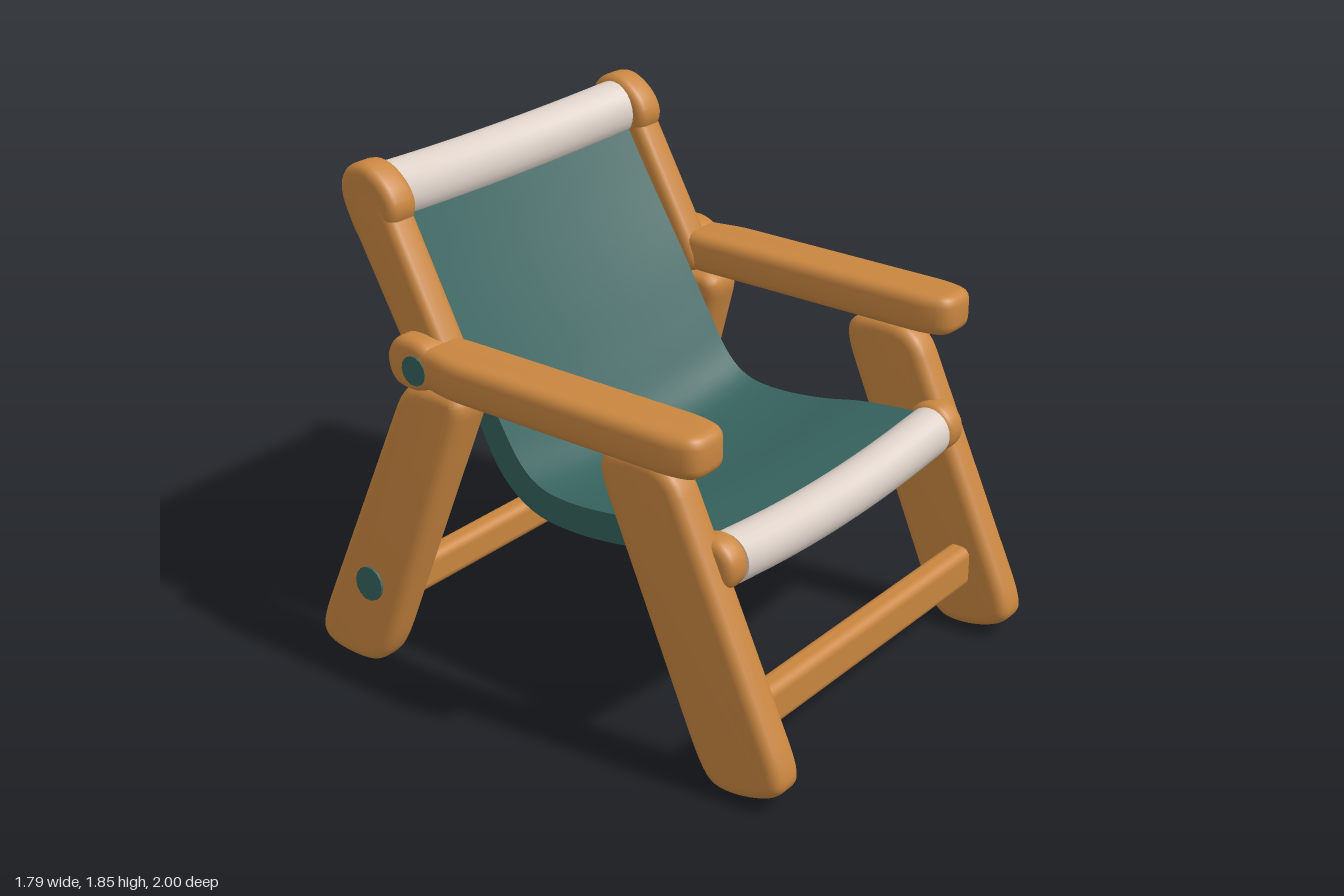
import * as THREE from 'three';
import { toCreasedNormals } from 'three/addons/utils/BufferGeometryUtils.js';
import { RoundedBoxGeometry } from 'three/addons/geometries/RoundedBoxGeometry.js';

const material = (name, color) => {
  const m = new THREE.MeshStandardMaterial({ color });
  m.name = name;
  return m;
};

// Closed outline with softened corners
function roundedShape(points, radius) {
  const p = points.map(([x, y]) => new THREE.Vector2(x, y));
  const shape = new THREE.Shape();
  p.forEach((c, i) => {
    const toward = (q) => {
      const d = q.clone().sub(c);
      return c.clone().addScaledVector(d.clone().normalize(), Math.min(radius, d.length() * 0.48));
    };
    const a = toward(p[(i + p.length - 1) % p.length]);
    const b = toward(p[(i + 1) % p.length]);
    if (i === 0) shape.moveTo(a.x, a.y);
    else shape.lineTo(a.x, a.y);
    shape.quadraticCurveTo(c.x, c.y, b.x, b.y);
  });
  return shape;
}

// Soft-edged slab of an outline, centred on its thickness along z
function slab(points, radius, thickness, bevel = 0.035) {
  const geo = new THREE.ExtrudeGeometry(roundedShape(points, radius), {
    depth: thickness - 2 * bevel, curveSegments: 6,
    bevelThickness: bevel, bevelSize: bevel, bevelOffset: -bevel, bevelSegments: 4,
  });
  geo.translate(0, 0, bevel - thickness / 2);
  return geo;
}

// Slab whose outline is given in side profile as [z, y]
function sideSlab(points, radius, thickness, bevel) {
  return slab(points.map(([z, y]) => [-z, y]), radius, thickness, bevel).rotateY(Math.PI / 2);
}

const ring = (z, y, r, n = 8) => Array.from({ length: n }, (_, i) => {
  const a = ((i + 0.5) / n) * Math.PI * 2;
  return [z + r * Math.cos(a), y + r * Math.sin(a)];
});

// Move every vertex by a rule
function warp(geo, rule) {
  const pos = geo.attributes.position;
  const v = new THREE.Vector3();
  for (let i = 0; i < pos.count; i++) {
    rule(v.fromBufferAttribute(pos, i));
    pos.setXYZ(i, v.x, v.y, v.z);
  }
  return geo;
}

const HALF = 0.605;
const sagAt = (x) => Math.max(0, 1 - (x / HALF) ** 2);

export function createModel() {
  const model = new THREE.Group();
  model.name = 'deckChair';
  const wood = material('wood', 0xc98640);
  const cloth = material('tealCloth', 0x36625e);
  const trim = material('creamTrim', 0xdcd0c7);

  const add = (name, geo, mat, x = 0, y = 0, z = 0) => {
    const mesh = new THREE.Mesh(geo, mat);
    mesh.name = name;
    mesh.position.set(x, y, z);
    model.add(mesh);
    return mesh;
  };
  const smooth = (geo) => toCreasedNormals(geo, 0.7);

  for (const s of [1, -1]) {
    const side = s > 0 ? 'left' : 'right';

    // Legs with rounded feet; the rear one splays outward and thins toward the floor
    add(side + 'FrontLeg', smooth(sideSlab(
      [[1.015, 0.13], [0.99, 0.06], [0.86, 0.01], [0.73, 0.005], [0.665, 0.08],
        [0.245, 1.06], [0.29, 1.14], [0.55, 1.14]], 0.11, 0.135, 0.042)), wood, s * 0.717);
    const rear = sideSlab(
      [[-0.31, 1.14], [-0.605, 1.14], [-1.005, 0.1], [-0.985, 0.03], [-0.9, 0], [-0.73, 0], [-0.65, 0.07]],
      0.11, 0.125, 0.042);
    add(side + 'RearLeg', smooth(warp(rear, (v) => {
      v.x = v.x * (1 + 0.4 * v.y) + s * (0.8375 - 0.115 * v.y);
    })), wood);

    // Back post, leaning slightly inward, with its thicker head
    const post = sideSlab([[-0.385, 1.15], [-0.57, 1.1], [-0.89, 1.66], [-0.86, 1.79], [-0.73, 1.79]], 0.08, 0.128);
    add(side + 'BackPost', smooth(warp(post, (v) => { v.x += s * (0.7 - 0.016 * v.y); })), wood);
    add(side + 'PostHead', smooth(sideSlab(
      [[-0.645, 1.69], [-0.68, 1.79], [-0.79, 1.865], [-0.895, 1.835], [-0.93, 1.74], [-0.84, 1.55], [-0.74, 1.58]],
      0.08, 0.128)), wood, s * 0.672);

    // Armrest, drawn from above, and the pivot block at its rear end
    const arm = [[0.625, 0.6], [0.66, 0.7], [0.82, 0.7], [0.85, 0.6], [0.85, -0.35],
      [0.82, -0.48], [0.815, -0.62], [0.67, -0.62], [0.625, -0.45]];
    add(side + 'Armrest', smooth(slab(arm.map(([x, z]) => [x * s, z]), 0.06, 0.15, 0.04).rotateX(Math.PI / 2)),
      wood, 0, 1.213, 0);
    add(side + 'ArmPivot', smooth(sideSlab(
      [[-0.4, 1.24], [-0.49, 1.31], [-0.61, 1.31], [-0.66, 1.23], [-0.63, 1.13], [-0.53, 1.11], [-0.43, 1.15]],
      0.05, 0.16)), wood, s * 0.74);

    // Knob at the front edge of the seat
    add(side + 'SeatKnob', smooth(sideSlab(ring(0.66, 0.79, 0.106), 0.05, 0.11)), wood, s * 0.66);

    // Round pegs on the outside
    const peg = (r) => new THREE.CylinderGeometry(r, r, 0.03, 14).rotateZ(Math.PI / 2);
    add(side + 'ArmPeg', peg(0.054), cloth, s * 0.813, 1.205, -0.51);
    add(side + 'LegPeg', peg(0.064), cloth, s * 0.865, 0.325, -0.74).rotation.z = s * 0.09;
  }

  // Cross bars between the legs
  add('frontStretcher', new RoundedBoxGeometry(1.38, 0.16, 0.095, 3, 0.035), wood, 0, 0.26, 0.795);
  add('rearStretcher', new RoundedBoxGeometry(1.58, 0.14, 0.09, 3, 0.035), wood, 0, 0.265, -0.74);

  // Sling: a thick profile swept across, thinning upward and sagging toward the middle
  const centre = new THREE.SplineCurve([
    [0.64, 0.8], [0.4, 0.775], [0.2, 0.735], [0, 0.716], [-0.16, 0.735], [-0.28, 0.82],
    [-0.38, 0.985], [-0.5, 1.215], [-0.65, 1.48], [-0.79, 1.735],
  ].map(([z, y]) => new THREE.Vector2(-z, y)));
  const upper = [], lower = [];
  for (let i = 0; i <= 40; i++) {
    const t = i / 40, p = centre.getPoint(t), d = centre.getTangent(t);
    const n = new THREE.Vector2(-d.y, d.x);
    const half = 0.055 - 0.033 * THREE.MathUtils.smoothstep(t, 0.55, 1);
    upper.push(p.clone().addScaledVector(n, half));
    lower.unshift(p.clone().addScaledVector(n, -half));
  }
  const sling = new THREE.ExtrudeGeometry(new THREE.Shape([...upper, ...lower]), {
    depth: 2 * HALF, steps: 16, bevelEnabled: false,
  }).translate(0, 0, -HALF).rotateY(Math.PI / 2);
  add('sling', smooth(warp(sling, (v) => {
    const back = THREE.MathUtils.smoothstep(v.y, 0.8, 1.3);
    const k = sagAt(v.x);
    v.y -= k * (0.045 - 0.02 * back);
    v.z -= k * 0.03 * back;
  })), cloth);

  // Cream hems rolled around the top and front edges, flattened along the cloth
  const hem = (across, along, tilt, drop, backward) => smooth(warp(
    new THREE.CylinderGeometry(1, 1, 1.225, 24, 16).rotateZ(Math.PI / 2).scale(1, along, across).rotateX(tilt),
    (v) => {
      const k = sagAt(v.x);
      v.y -= drop * k;
      v.z -= backward * k;
    }).toNonIndexed());
  add('topHem', hem(0.087, 0.104, -0.48, 0.025, 0.03), trim, 0, 1.732, -0.795);
  add('frontHem', hem(0.09, 0.093, 0, 0.035, 0), trim, 0, 0.783, 0.664);

  return model;
}
